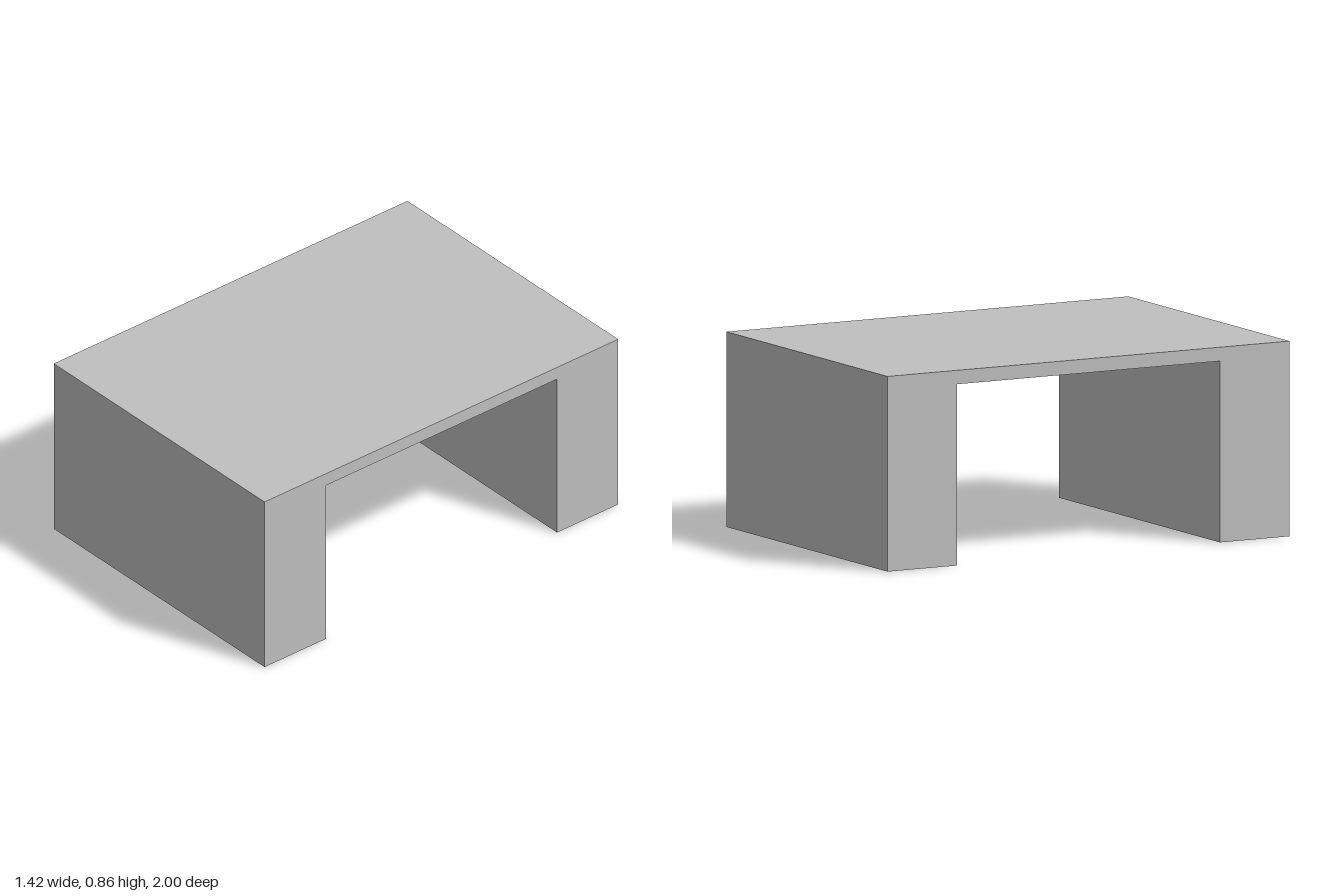
import * as THREE from 'three';

const WIDTH = 1.424, DEPTH = 2, HEIGHT = 0.857;
const TOP_THICKNESS = 0.061, LEG_DEPTH = 0.346;

export function createModel() {
  const model = new THREE.Group();
  model.name = 'table';

  const grey = new THREE.MeshStandardMaterial({ color: 0xc0c0c0 });
  grey.name = 'light grey';

  const addBox = (name, height, depth, y, z) => {
    const mesh = new THREE.Mesh(new THREE.BoxGeometry(WIDTH, height, depth), grey);
    mesh.name = name;
    mesh.position.set(0, y, z);
    model.add(mesh);
  };

  // Thin top across the full footprint
  addBox('tableTop', TOP_THICKNESS, DEPTH, HEIGHT - TOP_THICKNESS / 2, 0);

  // Full-width block legs, flush with the front and back edges
  const legHeight = HEIGHT - TOP_THICKNESS;
  for (const [name, side] of [['frontLeg', 1], ['backLeg', -1]]) {
    addBox(name, legHeight, LEG_DEPTH, legHeight / 2, side * (DEPTH - LEG_DEPTH) / 2);
  }

  return model;
}
